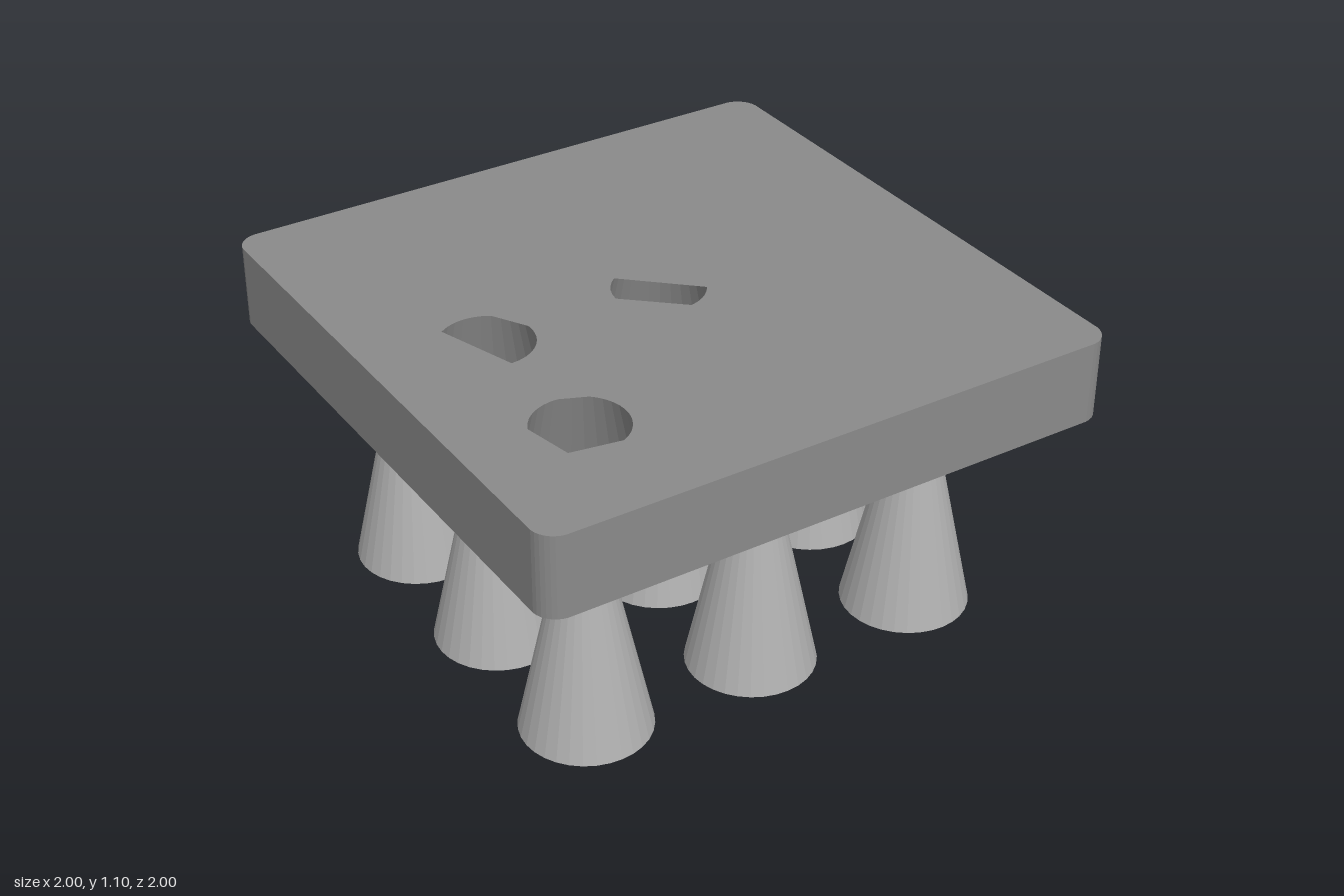
import * as THREE from 'three';

const RAD = Math.PI / 180;
const BOTTOM = 0.82, TOP = 1.10;     // plate faces
const R_BASE = 0.215, R_RIM = 0.152; // socket radius at plate bottom and top
const CONE_HEIGHT = 0.99;
const CORNER = 0.08, SEG = 32;
const XS = [-0.617, 0, 0.617], ZS = [-0.551, 0, 0.551];

// Openings in the plate top, mirrored in x for its underside.
// Each angle pair is an arc; pairs are joined by straight chords.
const OPENINGS = [
  { x: XS[0], z: ZS[1], arcs: [[-126, -56], [-4, 90]] },
  { x: XS[0], z: ZS[2], arcs: [[-157, -85], [-49, 65], [134, 134]] },
  { x: XS[1], z: ZS[1], arcs: [[-176, -126], [32, 80]] },
];

// Rounded rectangle outline as [x, z] points
function outline() {
  const pts = [];
  for (let i = 0; i < SEG; i++) {
    const a = (i + 0.5) / SEG * Math.PI * 2;
    const c = Math.cos(a), s = Math.sin(a);
    pts.push([c * CORNER + Math.sign(c) * (1 - CORNER), s * CORNER + Math.sign(s) * (1 - CORNER)]);
  }
  return pts;
}

function openingPoints({ x, z, arcs }, r) {
  const pts = [];
  for (const [a, b] of arcs) {
    const n = Math.ceil((b - a) / 11.25);
    for (let i = 0; i <= n; i++) {
      const t = (a + (n ? (b - a) * i / n : 0)) * RAD;
      pts.push([x + r * Math.cos(t), z + r * Math.sin(t)]);
    }
  }
  return pts;
}

// Flat plate face with openings; s = 1 faces down (mirrored in x), s = -1 faces up
function plateFace(r, y, s) {
  const vec = ([x, z]) => new THREE.Vector2(-s * x, s * z);
  const shape = new THREE.Shape(outline().map(vec));
  for (const o of OPENINGS) shape.holes.push(new THREE.Path(openingPoints(o, r).map(vec)));
  return new THREE.ShapeGeometry(shape).rotateX(s * Math.PI / 2).translate(0, y, 0);
}

// Plate side: a narrow tube whose quarters are pushed out to the corners
function plateSide() {
  const g = new THREE.CylinderGeometry(CORNER, CORNER, TOP - BOTTOM, SEG, 1, true, Math.PI / SEG);
  const p = g.attributes.position;
  for (let i = 0; i < p.count; i++) {
    p.setX(i, p.getX(i) + Math.sign(p.getX(i)) * (1 - CORNER));
    p.setZ(i, p.getZ(i) + Math.sign(p.getZ(i)) * (1 - CORNER));
  }
  return g.translate(0, (TOP + BOTTOM) / 2, 0);
}

export function createModel() {
  const model = new THREE.Group();
  model.name = 'coneTray';
  const coneGrey = new THREE.MeshStandardMaterial({ color: 0xb0b0b0, flatShading: true });
  const plateGrey = new THREE.MeshStandardMaterial({
    color: 0x8a8a8a, flatShading: true, side: THREE.DoubleSide,
  });
  const add = (parent, name, geometry, material) => {
    const mesh = new THREE.Mesh(geometry, material);
    mesh.name = name;
    parent.add(mesh);
    return mesh;
  };

  // Hollow plate
  const plate = new THREE.Group();
  plate.name = 'plate';
  model.add(plate);
  add(plate, 'plateSide', plateSide(), plateGrey);
  add(plate, 'plateTop', plateFace(R_RIM, TOP, -1), plateGrey);
  add(plate, 'plateBottom', plateFace(R_BASE, BOTTOM, 1), plateGrey);

  // Nine cones, each with a tapered socket in the plate above it
  const cone = new THREE.ConeGeometry(R_BASE, CONE_HEIGHT, SEG).translate(0, CONE_HEIGHT / 2, 0);
  const socket = new THREE.CylinderGeometry(R_RIM, R_BASE, TOP - BOTTOM, SEG, 1, true)
    .translate(0, (TOP + BOTTOM) / 2, 0);
  for (const x of XS) {
    for (const z of ZS) {
      add(model, 'cone', cone, coneGrey).position.set(x, 0, z);
      add(plate, 'socketWall', socket, plateGrey).position.set(x, 0, z);
    }
  }
  return model;
}
